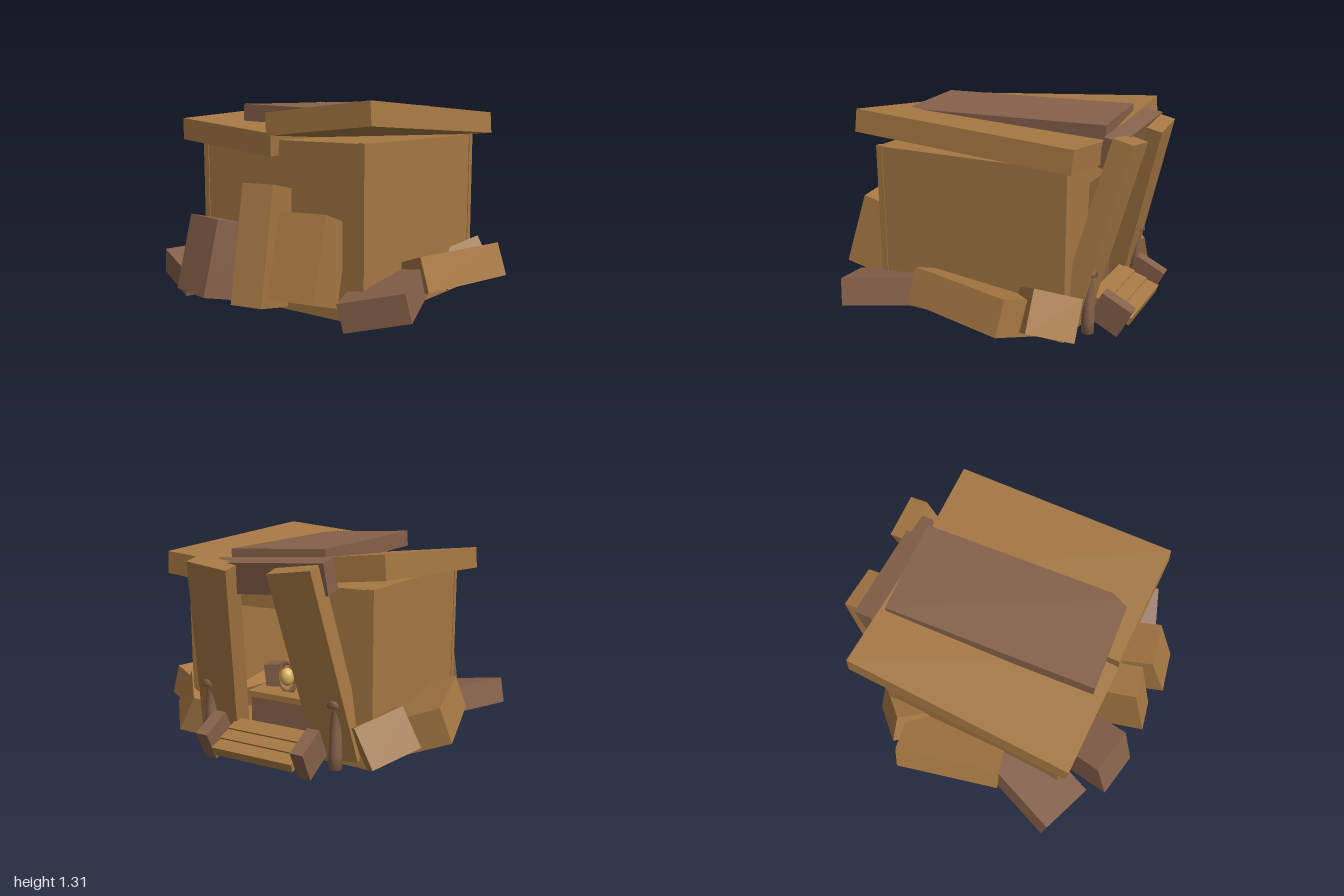
import * as THREE from 'three';

const mat = (color) => new THREE.MeshStandardMaterial({ color });
const wood = mat(0xa67843), brown = mat(0x86614a), gold = mat(0xd9b35f);

export function createModel() {
  const model = new THREE.Group();

  function add(name, geo, material, pos, rot = [0, 0, 0]) {
    const m = new THREE.Mesh(geo, material);
    m.name = name;
    m.position.set(...pos);
    m.rotation.set(rot[0], rot[1], rot[2], 'YXZ');
    model.add(m);
    return m;
  }
  const box = (name, size, pos, material = wood, rot) =>
    add(name, new THREE.BoxGeometry(...size), material, pos, rot);

  // slab placed by the centre of its outer (+z) face
  const slab = (name, size, pos, material, rot) =>
    add(name, new THREE.BoxGeometry(...size).translate(0, 0, -size[2] / 2), material, pos, rot);

  // hollow hut, doorway towards +x
  box('floor', [1.23, 0.06, 1.23], [0.04, 0.06, 0]);
  box('ceiling', [1.23, 0.05, 1.23], [0.04, 1.01, 0]);
  box('backWall', [0.06, 1, 1.23], [-0.545, 0.535, 0]);
  box('doorHeader', [0.06, 0.16, 0.56], [0.62, 0.96, 0]);
  for (const s of [1, -1]) {
    box('sideWall', [1.23, 1, 0.06], [0.04, 0.535, s * 0.585]);
    box('frontWall', [0.06, 1, 0.34], [0.62, 0.535, s * 0.44]);
    for (const x of [-0.56, 0.64])
      box('cornerPost', [0.04, 1.01, 0.04], [x, 0.535, s * 0.6]);
  }

  // roof: two tilted slabs and a cap board
  box('roofSlabLeft', [1.38, 0.135, 0.74], [0.04, 1.12, 0.345], wood, [-0.1, 0, -0.065]);
  box('roofSlabRight', [1.38, 0.135, 0.74], [0.04, 1.09, -0.355], wood, [0.1, 0, 0.065]);
  box('roofCap', [1.28, 0.1, 0.59], [0.07, 1.18, -0.005], brown, [0.04, 0.07, 0]);

  // crooked doorway
  box('lintel', [0.11, 0.18, 0.74], [0.78, 1.09, -0.06], brown, [0.06, 0, -0.2]);
  const bullet = [[0, 0], [0.038, 0], [0.038, 0.08], [0.034, 0.22], [0.022, 0.36], [0.05, 0.36],
    [0.042, 0.4], [0.022, 0.42], [0, 0.425]].map((p) => new THREE.Vector2(...p));
  for (const s of [1, -1]) {
    box('doorPlank', [0.12, 1.13, 0.27], [0.75, 0.61, s * 0.335], wood, [s * -0.13, 0, -0.235]);
    box('stepCheek', [0.2, 0.19, 0.08], [0.835, 0.13, s * 0.32], brown, [0, 0, -0.45]);
    add('bulletPost', new THREE.LatheGeometry(bullet, 16), brown, [0.73, 0.03, s * 0.43]);
  }
  for (let i = 0; i < 3; i++)
    box('step', [0.11, 0.05, 0.54], [0.88 - i * 0.08, 0.085 + i * 0.035, 0], wood, [0, 0, -0.3]);

  // altar with niche, ring and egg
  box('altarBase', [0.32, 0.24, 0.42], [0.46, 0.21, 0], brown);
  box('altarTop', [0.36, 0.035, 0.44], [0.46, 0.345, 0]);
  box('nichePanel', [0.05, 0.39, 0.24], [0.36, 0.555, -0.035], wood, [0, 0.1, 0]);
  box('nicheTop', [0.08, 0.03, 0.26], [0.37, 0.74, -0.035]);
  for (const s of [1, -1])
    box('offeringBlock', [0.1, 0.14, 0.1], [0.45, 0.43, s * 0.15], brown, [s * 0.1, s * 0.3, 0]);
  const ring = add('ring', new THREE.TorusGeometry(0.058, 0.012, 8, 28), wood, [0.54, 0.455, 0], [0, Math.PI / 2, 0]);
  ring.scale.y = 1.55;
  const egg = add('egg', new THREE.SphereGeometry(0.042, 20, 14), gold, [0.55, 0.455, 0]);
  egg.scale.y = 1.3;

  // tilted slabs along both sides; the far side is the near one reflected
  for (const s of [1, -1]) {
    const side = (name, w, h, d, x, y, z, material, yaw, pitch, roll) => {
      const half = s > 0 ? yaw : Math.PI - yaw;
      slab(name, [w, h, d], [x, y, s * z], material, [pitch, half, s * roll]);
    };
    side('sideSlabBack', 0.65, 0.165, 0.38, -0.34, 0.22, 0.83, brown, 0.36, -0.23, 0.05);
    side('sideSlabMiddle', 0.69, 0.21, 0.4, 0.1, 0.28, 0.88, wood, -0.235, -0.35, 0);
    side('sideSlabCorner', 0.3, 0.25, 0.32, 0.64, 0.23, 0.705, wood, 0.85, -0.35, -0.35);
  }

  // slabs leaning on the back wall
  box('backSlabLeft', [0.3, 0.48, 0.28], [-0.735, 0.395, 0.36], wood, [0, 0.2, -0.31]);
  box('backSlabMiddle', [0.3, 0.69, 0.2], [-0.725, 0.435, 0.03], wood, [0, 0.2, -0.21]);
  box('backSlabRight', [0.3, 0.46, 0.3], [-0.735, 0.32, -0.35], brown, [0, -0.2, -0.24]);

  return model;
}
